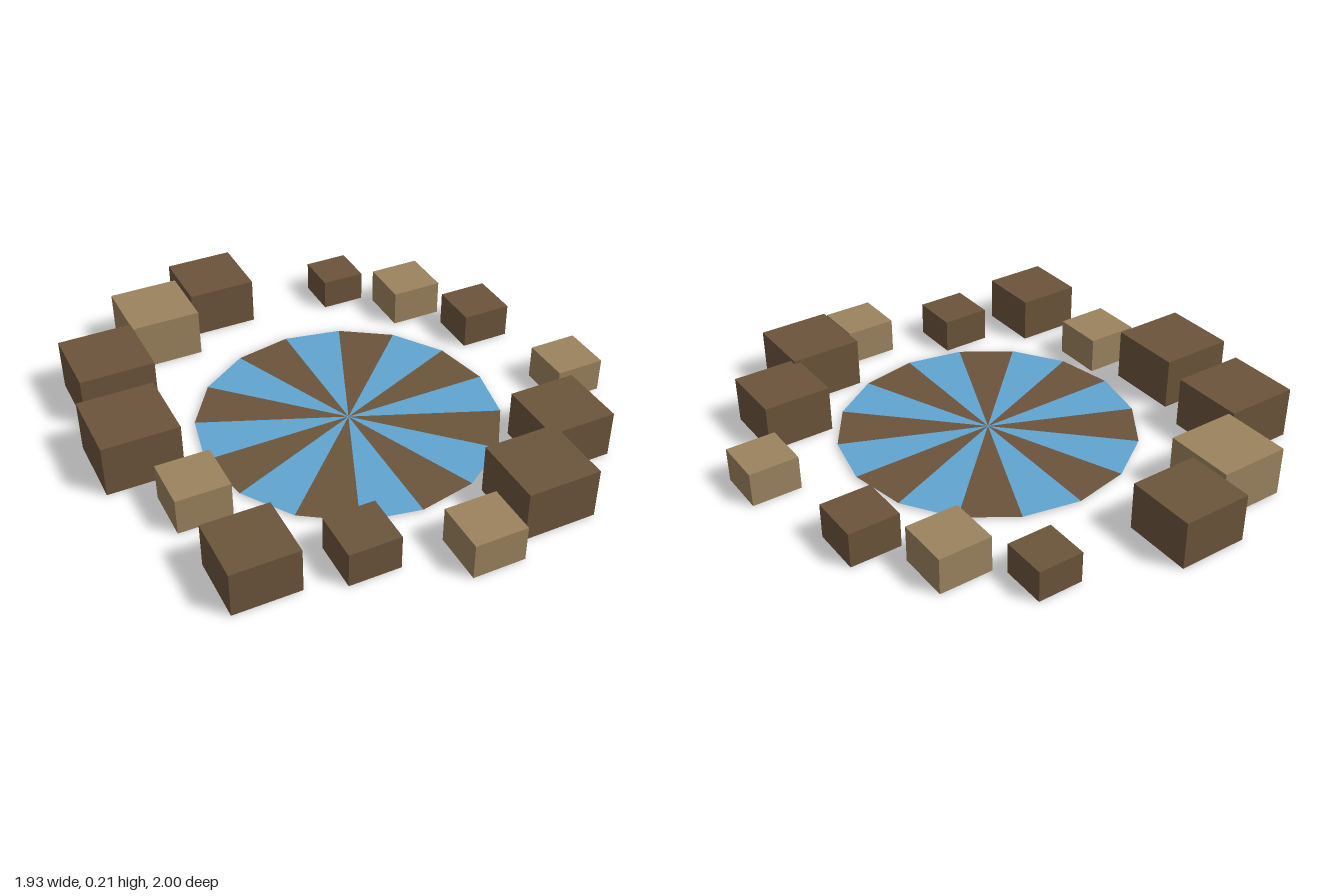
import * as THREE from 'three';

const material = (name, color, side = THREE.FrontSide) => {
  const m = new THREE.MeshStandardMaterial({ color, side });
  m.name = name;
  return m;
};

export function createModel() {
  const group = new THREE.Group();
  const darkStone = material('dark brown', 0x6b543b, THREE.DoubleSide);
  const lightStone = material('light tan', 0x9c835e);
  const water = material('water blue', 0x60a4d0, THREE.DoubleSide);

  // Ring of blocks: centre x, centre z, edge length, light or dark
  const blocks = [
    [-0.195, -0.865, 0.27, 0], [-0.485, -0.74, 0.275, 1],
    [-0.77, -0.48, 0.291, 0], [-0.818, -0.07, 0.294, 0],
    [-0.705, 0.27, 0.206, 1], [-0.66, 0.675, 0.253, 0],
    [-0.297, 0.753, 0.196, 0], [0.088, 0.898, 0.201, 1],
    [0.38, 0.78, 0.282, 0], [0.628, 0.538, 0.265, 0],
    [0.867, 0.226, 0.193, 1], [0.744, -0.263, 0.198, 0],
    [0.568, -0.541, 0.206, 1], [0.342, -0.769, 0.175, 0],
  ];
  blocks.forEach(([x, z, size, light], i) => {
    const height = size * 0.7;
    const block = new THREE.Mesh(
      new THREE.BoxGeometry(size, height, size), light ? lightStone : darkStone);
    block.name = `ringBlock${i + 1}`;
    block.position.set(x, height / 2, z);
    group.add(block);
  });

  // Flat sixteen-sided pool, one alternating colour per wedge
  const disc = new THREE.CircleGeometry(0.585, 16).rotateX(-Math.PI / 2);
  for (let i = 0; i < 16; i++) disc.addGroup(i * 3, 3, i % 2);
  const pool = new THREE.Mesh(disc, [darkStone, water]);
  pool.name = 'stripedPool';
  pool.position.set(-0.003, 0.01, 0.062);
  group.add(pool);

  return group;
}
